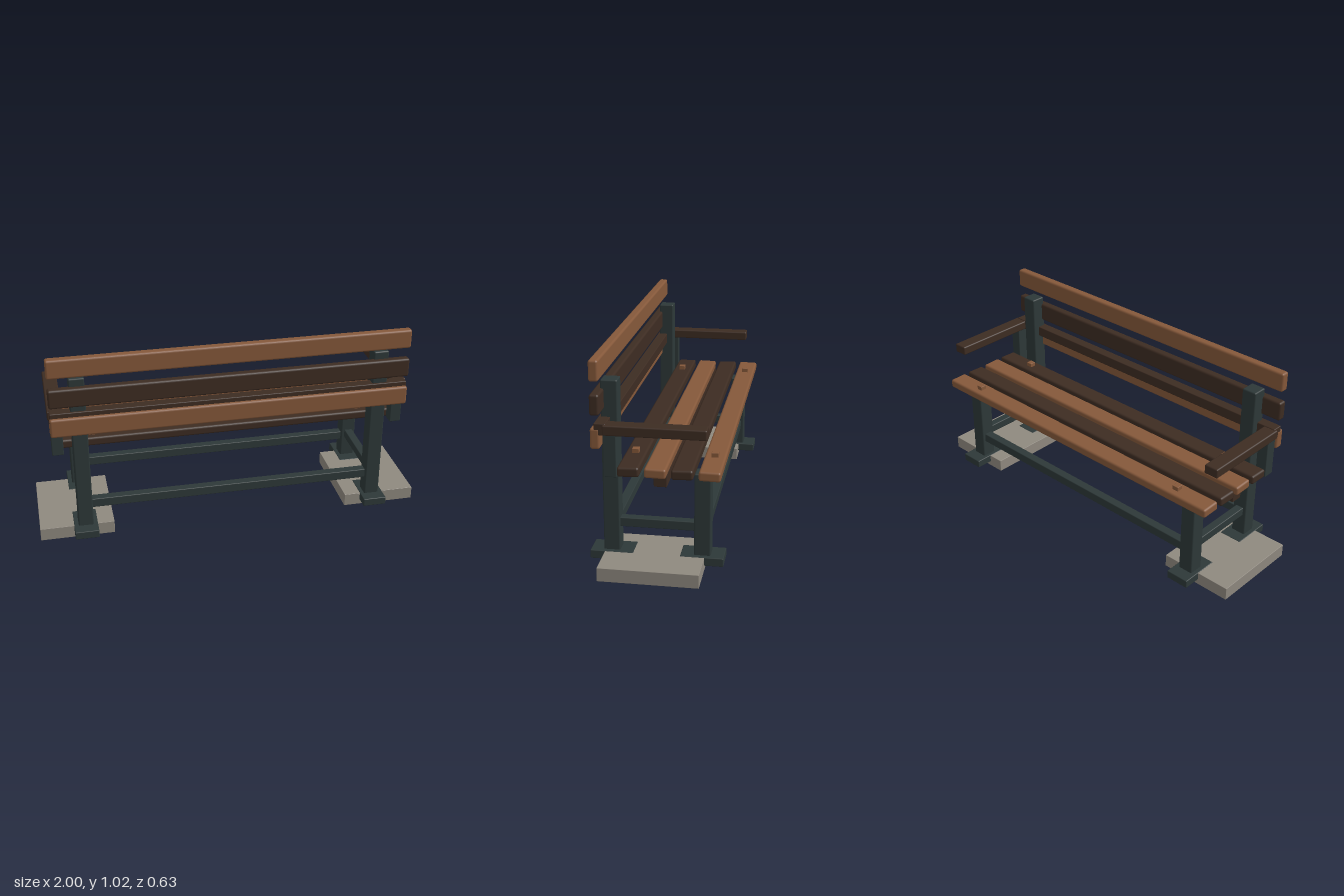
import * as THREE from 'three';
import { RoundedBoxGeometry } from 'three/addons/geometries/RoundedBoxGeometry.js';

const makeMaterial = (name, color) => {
  const m = new THREE.MeshStandardMaterial({ color });
  m.name = name;
  return m;
};

export function createModel() {
  const lightWood = makeMaterial('lightWood', 0x85583a);
  const darkWood = makeMaterial('darkWood', 0x3d2c22);
  const iron = makeMaterial('darkIron', 0x2d3838);
  const concrete = makeMaterial('concrete', 0x8f897f);

  const bench = new THREE.Group();
  bench.name = 'bench';

  // Softly rounded box given by its [min, max] extent on each axis
  function box(name, material, [x0, x1], [y0, y1], [z0, z1], radius = 0.007) {
    const geometry = new RoundedBoxGeometry(x1 - x0, y1 - y0, z1 - z0, 2, radius);
    const mesh = new THREE.Mesh(geometry, material);
    mesh.name = name;
    mesh.position.set((x0 + x1) / 2, (y0 + y1) / 2, (z0 + z1) / 2);
    bench.add(mesh);
    return mesh;
  }
  // The same box on the left (+x) and right (-x)
  function pair(name, material, [x0, x1], y, z, radius) {
    box(name + 'Left', material, [x0, x1], y, z, radius);
    box(name + 'Right', material, [-x1, -x0], y, z, radius);
  }

  // Ground slabs and feet
  pair('slab', concrete, [0.62, 1], [0, 0.067], [-0.225, 0.245], 0.002);
  pair('backrestFoot', iron, [0.705, 0.827], [0.027, 0.069], [0.11, 0.315], 0.004);
  pair('frontFoot', iron, [0.705, 0.827], [0.027, 0.069], [-0.315, -0.11], 0.004);

  // Posts, legs and stretchers
  pair('backrestPost', iron, [0.726, 0.804], [0.04, 0.9], [0.175, 0.253]);
  pair('frontLeg', iron, [0.726, 0.804], [0.04, 0.473], [-0.252, -0.174]);
  pair('sideStretcher', iron, [0.743, 0.787], [0.182, 0.227], [-0.18, 0.18], 0.004);
  for (const z of [-0.2125, 0.2125]) {
    box('longStretcher', iron, [-0.735, 0.735], [0.16, 0.208], [z - 0.023, z + 0.023], 0.004);
  }

  // Seat slats, each very slightly tilted, alternating in colour
  [0.113, -0.01, -0.133, -0.257].forEach((z, i) => {
    const slat = box('seatSlat', i % 2 ? lightWood : darkWood,
      [-0.905, 0.905], [0.479, 0.525], [z - 0.05, z + 0.05], 0.011);
    slat.rotation.x = i % 2 ? -0.02 : 0.03;
  });
  box('seatBeam', darkWood, [-0.885, 0.885], [0.434, 0.49], [-0.062, -0.002], 0.003);

  // Square pegs on the outer seat slats
  for (const z of [0.114, -0.257]) {
    pair('peg', lightWood, [0.683, 0.716], [0.512, 0.546], [z - 0.0165, z + 0.0165], 0.002);
  }

  // Backrest slats
  [0.654, 0.811, 0.968].forEach((y, i) => {
    box('backrestSlat', i === 1 ? darkWood : lightWood,
      [-0.907, 0.907], [y - 0.049, y + 0.049], [0.237, 0.282], 0.011);
  });

  // Armrests with their supports and the rail joining them
  pair('armrest', darkWood, [0.842, 0.916], [0.675, 0.723], [-0.246, 0.224]);
  pair('armSupport', iron, [0.848, 0.906], [0.476, 0.69], [0.163, 0.223], 0.004);
  box('armRail', darkWood, [-0.905, 0.905], [0.672, 0.727], [0.21, 0.264], 0.004);

  return bench;
}
